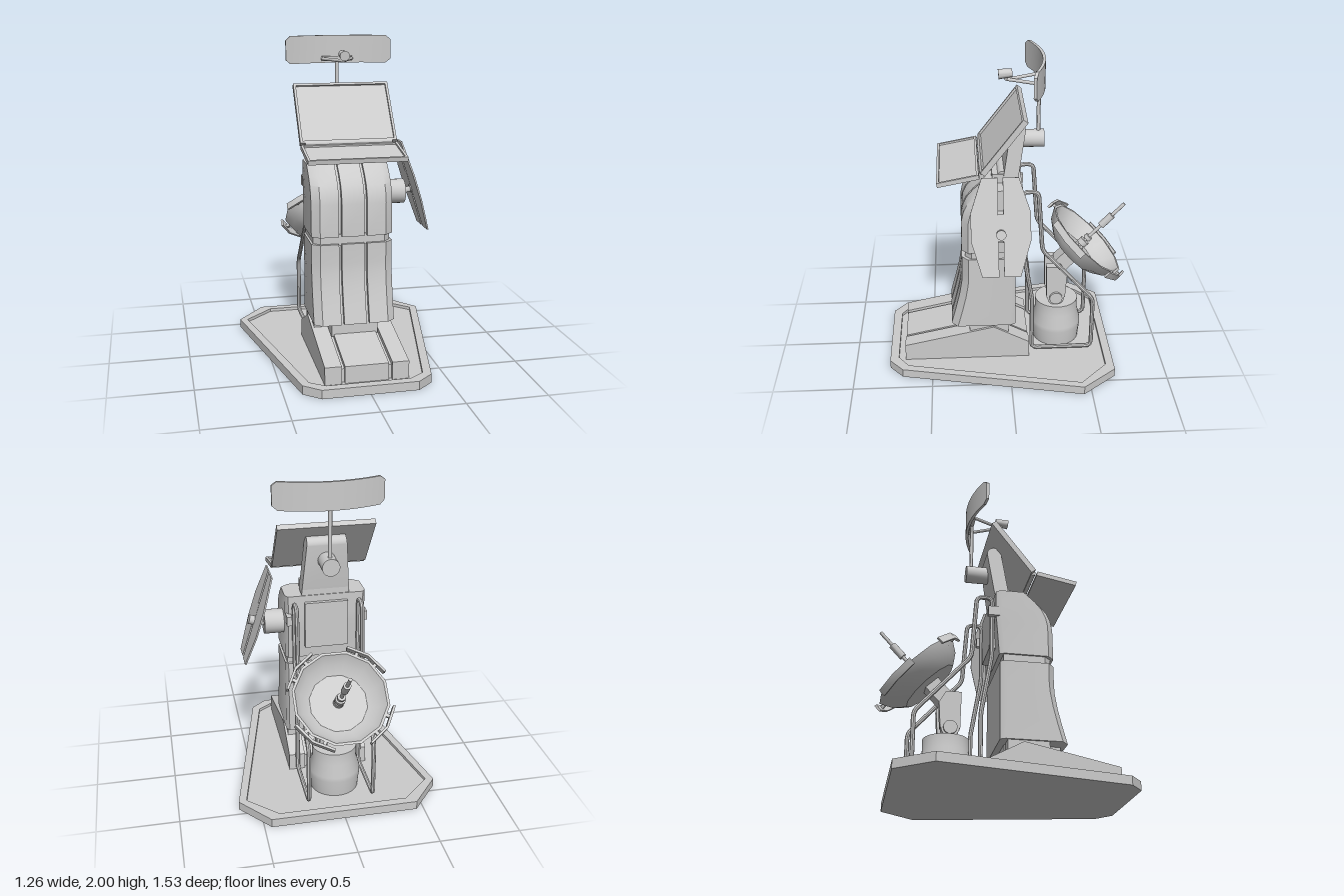
import * as THREE from 'three';
import { toCreasedNormals, mergeVertices } from 'three/addons/utils/BufferGeometryUtils.js';

const grey = new THREE.MeshStandardMaterial({ color: 0xcccccc, side: THREE.DoubleSide });
const V = (x, y, z) => new THREE.Vector3(x, y, z);

function add(parent, name, geo, x = 0, y = 0, z = 0) {
  const m = new THREE.Mesh(toCreasedNormals(geo, 0.6), grey);
  m.name = name;
  m.position.set(x, y, z);
  parent.add(m);
  return m;
}
const box = (w, h, d) => new THREE.BoxGeometry(w, h, d);
const cyl = (rTop, rBottom, h, n = 20) => new THREE.CylinderGeometry(rTop, rBottom, h, n);
const shapeOf = pts => new THREE.Shape(pts.map(p => new THREE.Vector2(p[0], p[1])));
const extrude = (shape, depth) => new THREE.ExtrudeGeometry(shape, { depth, bevelEnabled: false, curveSegments: 10 });

// Profile of [z, y] points, extruded across x and centred
const sideSlab = (shape, w) => extrude(shape, w).rotateY(-Math.PI / 2).translate(w / 2, 0, 0);
// Plan of [x, z] points, extruded down from height top
const planSlab = (shape, h, top) => extrude(shape, h).rotateX(Math.PI / 2).translate(0, top, 0);

// Straight bar between two points
function bar(parent, name, a, b, r0, r1 = r0, n = 12) {
  const m = add(parent, name, cyl(r1, r0, a.distanceTo(b), n));
  m.position.copy(a).lerp(b, 0.5);
  m.quaternion.setFromUnitVectors(V(0, 1, 0), b.clone().sub(a).normalize());
  return m;
}

// Stacked horizontal sections: rows of [y, frontZ, backZ], section gives half an outline
function loft(rows, section) {
  const loops = rows.map(([y, f, b]) => {
    const half = section(f, b);
    const mirrored = half.slice().reverse().map(([x, z]) => [-x, z]);
    return half.concat(mirrored).map(([x, z]) => V(x, y, z));
  });
  const pos = [], n = loops[0].length;
  const tri = (...v) => v.forEach(p => pos.push(p.x, p.y, p.z));
  for (let i = 0; i < loops.length - 1; i++) {
    for (let j = 0; j < n; j++) {
      const k = (j + 1) % n, A = loops[i], B = loops[i + 1];
      tri(A[j], A[k], B[k]);
      tri(A[j], B[k], B[j]);
    }
  }
  const caps = loop => THREE.ShapeUtils.triangulateShape(loop.map(p => new THREE.Vector2(p.x, -p.z)), []);
  const lo = loops[0], hi = loops[loops.length - 1];
  caps(lo).forEach(([a, b, c]) => tri(lo[c], lo[b], lo[a]));
  caps(hi).forEach(([a, b, c]) => tri(hi[a], hi[b], hi[c]));
  const g = new THREE.BufferGeometry();
  g.setAttribute('position', new THREE.Float32BufferAttribute(pos, 3));
  return g;
}
// Chamfered body outline with two grooves down the front
const bodySection = (f, b) => [[0.07, f], [0.07, f - 0.03], [0.088, f - 0.03], [0.088, f],
  [0.205, f], [0.253, f - 0.04], [0.253, b + 0.03], [0.235, b]];
const plainSection = (f, b) => [[0.2, f], [0.24, f - 0.04], [0.24, b]];

// Closed path with rounded corners
function roundedLoop(pts, r) {
  const path = new THREE.CurvePath(), n = pts.length;
  const corner = pts.map((p, i) => {
    const toward = q => p.clone().add(q.clone().sub(p).setLength(r));
    return [toward(pts[(i + n - 1) % n]), p, toward(pts[(i + 1) % n])];
  });
  corner.forEach((c, i) => {
    path.add(new THREE.QuadraticBezierCurve3(...c));
    path.add(new THREE.LineCurve3(c[2], corner[(i + 1) % n][0]));
  });
  return path;
}

// Shallow tray: frame, recessed plate; w wide, h tall, facing +z, bottom edge at origin
function framedPanel(parent, name, w, h, d) {
  const g = new THREE.Group();
  g.name = name;
  const frame = shapeOf([[-w / 2, 0], [w / 2, 0], [w / 2, h], [-w / 2, h]]);
  const e = 0.015;
  frame.holes.push(shapeOf([[-w / 2 + e, e], [-w / 2 + e, h - e], [w / 2 - e, h - e], [w / 2 - e, e]]));
  add(g, name + 'Frame', extrude(frame, d), 0, 0, -d);
  add(g, name + 'Plate', box(w - 2 * e, h - 2 * e, d * 0.6), 0, h / 2, -d * 0.7);
  parent.add(g);
  return g;
}

export function createModel() {
  const model = new THREE.Group();
  model.name = 'antennaConsole';

  // Base tray with raised rim
  const plan = half => half.concat(half.slice().reverse().map(([x, z]) => [-x, z]));
  const inner = plan([[0.4, -0.615], [0.58, -0.44], [0.345, 0.655], [0.255, 0.72]]);
  const rim = shapeOf(plan([[0.455, -0.667], [0.63, -0.45], [0.39, 0.69], [0.29, 0.775]]));
  rim.holes.push(shapeOf(inner));
  add(model, 'baseRim', planSlab(rim, 0.055, 0.055));
  add(model, 'baseFloor', planSlab(shapeOf(inner), 0.035, 0.035));

  // Sloped foot in three strips over a lower core
  const foot = drop => shapeOf([[0.675 - drop, 0.03], [0.675 - drop, 0.145 - drop], [0.1, 0.268 - drop],
    [-0.13 + drop, 0.145 - drop], [-0.13 + drop, 0.03]]);
  add(model, 'footCentre', sideSlab(foot(0.004), 0.265));
  add(model, 'footCore', sideSlab(foot(0.025), 0.48));
  for (const s of [-1, 1]) add(model, 'footSide', sideSlab(foot(0), 0.102), s * 0.204);
  add(model, 'ankle', sideSlab(shapeOf([[0.34, 0.2], [0.34, 0.285], [0, 0.285], [0, 0.2]]), 0.29));
  for (const s of [-1, 1]) add(model, 'anklePad', box(0.08, 0.08, 0.25), s * 0.2, 0.245, 0.13);

  // Lower and upper body with a narrow waist
  add(model, 'lowerBody', loft([[0.28, 0.37, -0.04], [0.4, 0.338, -0.04], [0.5, 0.314, -0.04],
    [0.59, 0.299, -0.04], [0.65, 0.295, -0.04], [0.772, 0.295, -0.04]], bodySection));
  add(model, 'waist', loft([[0.76, 0.275, -0.02], [0.83, 0.275, -0.02]], plainSection));
  add(model, 'upperBody', loft([[0.818, 0.295, -0.045], [1.02, 0.293, -0.06], [1.08, 0.28, -0.065],
    [1.13, 0.257, -0.065], [1.18, 0.215, -0.065], [1.243, 0.145, -0.065]], bodySection));
  add(model, 'backPlate', box(0.27, 0.3, 0.04), 0, 1.05, -0.07);
  for (const s of [-1, 1]) add(model, 'pipeClamp', box(0.032, 0.06, 0.07), s * 0.236, 1.1, -0.08);

  // Neck and rounded support plate behind the screen
  add(model, 'neck', box(0.28, 0.07, 0.16), 0, 1.265, 0.02);
  add(model, 'neckHinge', cyl(0.036, 0.036, 0.26).rotateZ(Math.PI / 2), 0, 1.28, 0.035);
  const plate = new THREE.Shape();
  plate.moveTo(-0.045, 0).lineTo(0.045, 0).lineTo(0.045, 0.33);
  plate.absarc(0, 0.33, 0.045, 0, Math.PI, false);
  const plateGeo = sideSlab(plate, 0.3), pp = plateGeo.attributes.position;
  for (let i = 0; i < pp.count; i++) pp.setX(i, pp.getX(i) * (1 - 0.65 * Math.max(0, pp.getY(i)) * 0.8));
  add(model, 'supportPlate', plateGeo, 0, 1.25, -0.01).rotation.x = -0.15;

  // Screen and keyboard panel
  const screen = framedPanel(model, 'screen', 0.6, 0.415, 0.035);
  screen.position.set(0, 1.385, 0.175);
  screen.rotation.x = -0.653;
  const keys = framedPanel(model, 'keyboard', 0.6, 0.255, 0.028);
  keys.position.set(0, 1.325, 0.435);
  keys.rotation.x = -1.38;
  add(model, 'screenHinge', cyl(0.015, 0.015, 0.54).rotateZ(Math.PI / 2), 0, 1.376, 0.165);

  // Top mast with curved reflector
  add(model, 'mastSocket', cyl(0.055, 0.055, 0.15).rotateX(Math.PI / 2), 0, 1.477, -0.15);
  bar(model, 'mast', V(0, 1.48, -0.19), V(0, 1.87, -0.19), 0.012);
  const reflector = box(0.67, 0.172, 0.018, 22, 1, 1);
  const curved = new THREE.BoxGeometry(0.67, 0.172, 0.018, 22, 1, 1), cp = curved.attributes.position;
  for (let i = 0; i < cp.count; i++) {
    const x = cp.getX(i);
    if (Math.abs(x) > 0.32) cp.setY(i, cp.getY(i) * 0.7);
    cp.setZ(i, cp.getZ(i) + 0.68 * x * x);
  }
  reflector.dispose();
  add(model, 'reflector', curved, 0, 1.914, -0.215);
  for (const s of [-1, 1]) bar(model, 'feedStrut', V(s * 0.095, 1.855, -0.19), V(0, 1.855, 0), 0.01);
  add(model, 'feedCrossbar', box(0.195, 0.03, 0.02), 0, 1.855, -0.19);
  bar(model, 'feedPost', V(0, 1.85, 0.005), V(0, 1.89, 0.005), 0.01);
  bar(model, 'feedHorn', V(0, 1.895, -0.03), V(0, 1.888, 0.053), 0.024, 0.031, 18);

  // Side panel antenna in two halves
  bar(model, 'sideMount', V(0.24, 1.035, 0.06), V(0.375, 1.035, 0.06), 0.077, 0.077, 24);
  bar(model, 'sideArm', V(0.37, 1.03, 0.06), V(0.43, 1.05, 0.06), 0.018);
  bar(model, 'sideFeed', V(0.42, 1.046, 0.06), V(0.468, 1.06, 0.06), 0.027, 0.03, 16);
  const wing = new THREE.Group();
  wing.name = 'sidePanel';
  wing.position.set(0.42, 1.085, 0.06);
  wing.rotation.z = 0.306;
  for (const s of [-1, 1]) {
    const pts = [[0.015, 0.298], [0.11, 0.298], [0.178, 0.09], [0.178, -0.08], [0.115, -0.298], [0.015, -0.298]];
    add(wing, 'sidePanelHalf', sideSlab(shapeOf(pts.map(([z, y]) => [s * z, y])), 0.01));
  }
  add(wing, 'sidePanelSpine', box(0.012, 0.16, 0.04));
  model.add(wing);

  // Pipe loops behind the body
  for (const s of [-1, 1]) {
    const loop = roundedLoop([[0.065, -0.15], [0.44, -0.15], [0.82, -0.085], [1.208, -0.085], [1.208, -0.18],
      [0.8, -0.21], [0.43, -0.543], [0.065, -0.543]].map(([y, z]) => V(s * 0.203, y, z)), 0.035);
    add(model, 'pipeLoop', mergeVertices(new THREE.TubeGeometry(loop, 160, 0.014, 8, true)));
  }

  // Dish pedestal, pivot and yoke
  add(model, 'pedestal', new THREE.LatheGeometry([[0, 0.03], [0.15, 0.03], [0.162, 0.14], [0.162, 0.17], [0.14, 0.25],
    [0.14, 0.33], [0, 0.33]].map(p => new THREE.Vector2(...p)), 28), 0, 0, -0.328);
  add(model, 'pivot', cyl(0.042, 0.042, 0.23).rotateZ(Math.PI / 2), 0, 0.38, -0.315);
  const arm = new THREE.Shape();
  arm.moveTo(0.06, 0.38).lineTo(0.065, 0.61).lineTo(-0.03, 0.61).lineTo(-0.07, 0.54).lineTo(-0.06, 0.38);
  arm.absarc(0, 0.38, 0.055, Math.PI, 2 * Math.PI, false);
  for (const s of [-1, 1]) add(model, 'yokeArm', sideSlab(arm, 0.05), s * 0.075, 0, -0.315);

  // Tilted dish
  const dish = new THREE.Group();
  dish.name = 'dish';
  dish.position.set(0, 0.765, -0.52);
  dish.rotation.x = -0.755;
  add(dish, 'bowl', new THREE.LatheGeometry([[0, -0.125], [0.19, -0.125], [0.255, -0.075], [0.298, 0], [0.282, 0],
    [0.24, -0.065], [0.18, -0.108], [0, -0.108]].map(p => new THREE.Vector2(...p)), 12).rotateY(Math.PI / 12));
  add(dish, 'dishNeck', box(0.1, 0.14, 0.1), 0, -0.18, 0.01);
  // Rim clips, each a strip bent once
  for (const start of [0, 1, 2, 3]) {
    const at = k => (start % 2 ? 65 - 50 * k : 15 + 50 * k) * Math.PI / 180 + start * Math.PI / 2;
    const pt = (k, r) => [r * Math.cos(at(k)), r * Math.sin(at(k))];
    const strip = [pt(0, 0.33), pt(0.5, 0.33), pt(1, 0.33), pt(1, 0.315), pt(0.5, 0.315), pt(0, 0.315)];
    add(dish, 'rimClip', planSlab(shapeOf(strip), 0.045, 0.01));
    for (const k of [0.25, 0.75]) {
      const [x, z] = pt(k, 0.3);
      add(dish, 'clipStud', box(0.03, 0.02, 0.02), x, -0.012, z).rotation.y = -at(k);
    }
  }
  // Feed antenna along the dish axis
  for (const [y0, y1, r] of [[-0.11, 0.335, 0.011], [-0.11, -0.07, 0.033], [-0.055, -0.02, 0.033],
    [-0.005, 0.02, 0.026], [0.125, 0.225, 0.023]]) bar(dish, 'dishFeed', V(0, y0, 0), V(0, y1, 0), r, r, 16);
  model.add(dish);
  return model;
}
